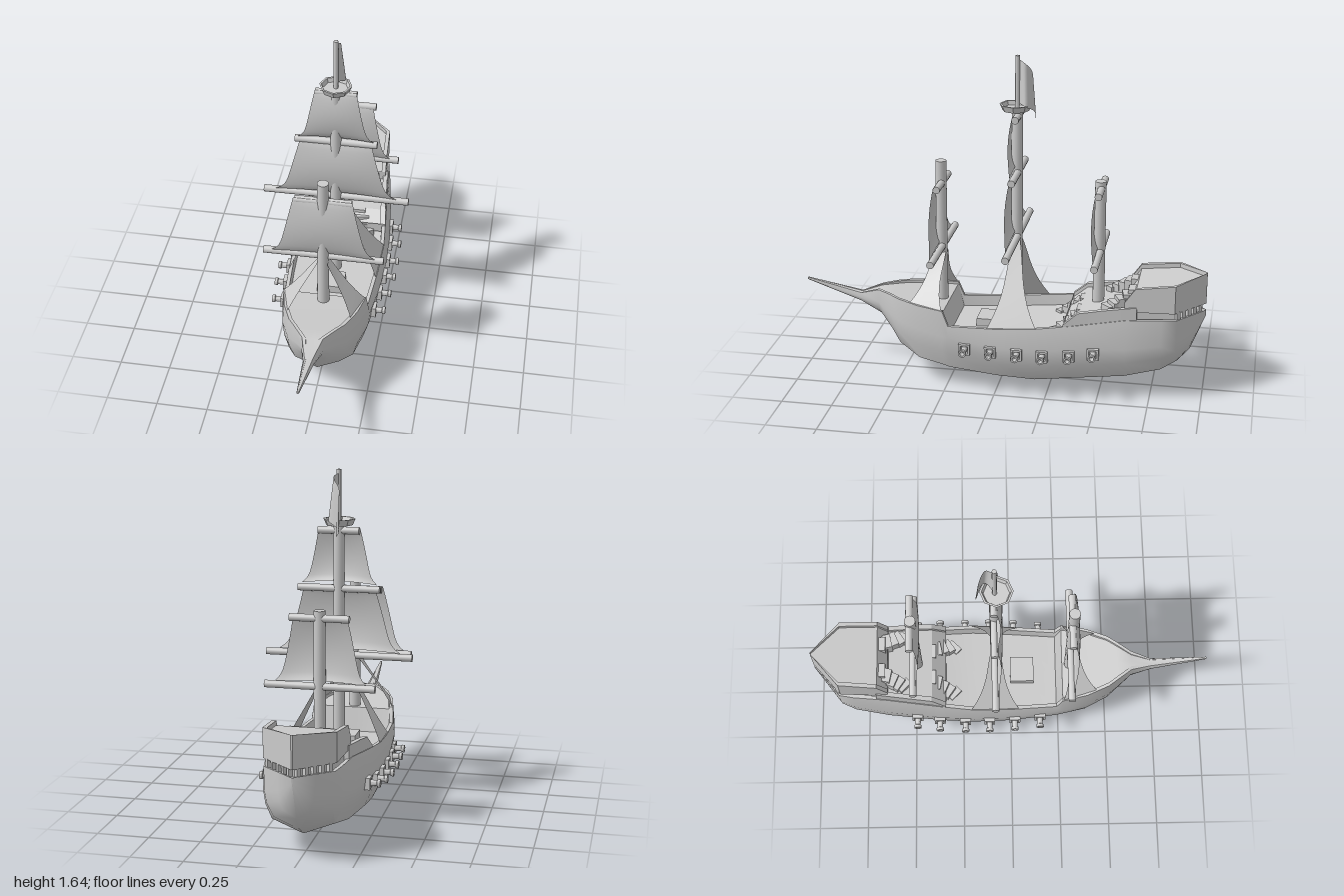
import * as THREE from 'three';
import { toCreasedNormals } from 'three/addons/utils/BufferGeometryUtils.js';

const grey = new THREE.MeshStandardMaterial({ color: 0xcccccc });
const thin = new THREE.MeshStandardMaterial({ color: 0xcccccc, side: THREE.DoubleSide });

function add(parent, name, geometry, x = 0, y = 0, z = 0, material = grey) {
  const mesh = new THREE.Mesh(geometry, material);
  mesh.name = name;
  mesh.position.set(x, y, z);
  parent.add(mesh);
  return mesh;
}

// Skin over mirrored cross-sections, ordered bow to stern. Each: { z, pts } from bottom centre to top centre.
function loft(sections, crease) {
  const pos = [], idx = [];
  const n = (sections[0].pts.length - 1) * 2;
  for (const { z, pts } of sections) {
    const mirrored = pts.slice(1, -1).reverse().map(([x, y]) => [-x, y]);
    for (const [x, y] of [...pts, ...mirrored]) pos.push(x, y, z);
  }
  for (let i = 0; i < sections.length - 1; i++) {
    for (let j = 0; j < n; j++) {
      const a = i * n + j, b = i * n + (j + 1) % n;
      idx.push(a, a + n, b, b, a + n, b + n);
    }
  }
  // End caps, zipped between the mirrored sides
  const last = (sections.length - 1) * n;
  for (let j = 0; j < n / 2; j++) {
    const l0 = (n - j) % n, l1 = n - j - 1;
    idx.push(j, j + 1, l1, j, l1, l0);
    idx.push(last + j, last + l1, last + j + 1, last + j, last + l0, last + l1);
  }
  const g = new THREE.BufferGeometry();
  g.setAttribute('position', new THREE.Float32BufferAttribute(pos, 3));
  g.setIndex(idx);
  return toCreasedNormals(g, crease);
}

// Surface from a rule f(u, v) -> [x, y, z]
function sheet(f, nu, nv) {
  const g = new THREE.PlaneGeometry(1, 1, nu, nv);
  const p = g.attributes.position, uv = g.attributes.uv;
  for (let i = 0; i < p.count; i++) p.setXYZ(i, ...f(uv.getX(i), uv.getY(i)));
  g.computeVertexNormals();
  return g;
}

function createHull(ship) {
  // z, keelY, chineX, bulgeX, bulgeY, railX, railY
  const rows = [
    [1, .445, .004, .006, .452, .004, .458],
    [.72, .35, .02, .028, .378, .02, .4],
    [.62, .29, .03, .055, .37, .05, .435],
    [.55, .2, .07, .11, .34, .1, .435],
    [.5, .13, .11, .145, .32, .135, .43],
    [.39, .065, .16, .19, .3, .18, .42],
    [.265, .045, .18, .215, .28, .205, .41],
    [.235, .035, .185, .22, .28, .21, .335],
    [0, .015, .19, .24, .25, .225, .345],
    [-.19, .005, .19, .245, .25, .23, .362],
    [-.37, .03, .19, .238, .27, .215, .385],
    [-.63, .06, .17, .21, .28, .19, .425],
    [-.8, .105, .145, .185, .3, .175, .43],
    [-.87, .15, .12, .16, .32, .162, .43],
    [-.93, .22, .06, .083, .34, .088, .43],
    [-1, .4, .002, .003, .41, .004, .43],
  ];
  add(ship, 'hull', loft(rows.map(([z, keel, cx, bx, by, rx, ry]) => {
    const cy = keel + (by - keel) * .3;
    const inner = Math.max(rx - .018, rx * .6);
    const waist = z < .25 && z > -.5; // the main deck lies deeper below its rail
    const deck = ry - (waist ? .055 : .012) * Math.min(1, rx / .1);
    return { z, pts: [[0, keel], [cx, cy], [cx + (bx - cx) * .75, (cy + by) / 2], [bx, by],
      [rx, ry], [inner, ry], [inner * .98, deck], [0, deck]] };
  }), .75));
}

function createSternCastle(ship) {
  // Raised decks as blocks with a low rail: rows are z, halfWidth, bottomY, topY
  const block = (rows, rail) => loft(rows.map(([z, x, b, t]) => {
    const inner = x * .88;
    return { z, pts: [[0, b], [x, b], [x, t], [inner, t], [inner, t - rail], [0, t - rail]] };
  }), .5);
  add(ship, 'quarterDeck', block([
    [-.33, .218, .34, .39], [-.4, .208, .34, .45], [-.52, .198, .36, .47], [-.68, .182, .38, .49],
  ], .02));
  add(ship, 'sternBand', block([
    [-.62, .165, .38, .48], [-.86, .14, .4, .48], [-.97, .004, .4, .48],
  ], 0));
  add(ship, 'poopDeck', block([
    [-.62, .178, .46, .51], [-.67, .177, .465, .582], [-.86, .167, .465, .605], [-1, .004, .465, .622],
  ], .022));

  // Small blocks under the overhanging stern
  for (const s of [-1, 1]) {
    for (let i = 0; i < 5; i++) {
      const t = (i + .4) / 5;
      const b = add(ship, 'sternBlock', new THREE.BoxGeometry(.02, .045, .02), s * .15 * (1 - t), .448, -.862 - .12 * t);
      b.rotation.y = s * .7;
    }
  }

  // Curved pairs of stairs between the decks
  const stairs = (z0, y0, y1, base) => {
    for (const s of [-1, 1]) {
      for (let i = 0; i < 5; i++) {
        const t = i / 4, top = y1 + (y0 - y1) * t;
        const step = add(ship, 'stairStep', new THREE.BoxGeometry(.07, top - base, .04),
          s * (.07 + .055 * Math.sin(t * Math.PI / 2)), (top + base) / 2, z0 + .11 * t);
        step.rotation.y = s * .8 * t;
      }
    }
  };
  stairs(-.65, .475, .55, .43);
  stairs(-.4, .33, .43, .28);
}

function createMast(ship, { name, z, top, base, yards, sails }) {
  const mast = new THREE.Group();
  mast.name = name;
  mast.position.z = z;
  ship.add(mast);
  add(mast, 'mastPole', new THREE.CylinderGeometry(.027, .029, top - base, 16), 0, (top + base) / 2, 0);
  for (const [y, half] of yards) {
    add(mast, 'yard', new THREE.CylinderGeometry(.018, .018, half * 2, 12), 0, y, -.005).rotation.z = Math.PI / 2;
  }
  // Sails flare towards the lower corners and belly forward slightly
  for (const [y0, y1, w0, w1] of sails) {
    add(mast, 'sail', sheet((u, v) => {
      const d = 1 - v, s = u * 2 - 1;
      const half = w0 + (w1 - w0) * (.65 * d + .35 * Math.pow(d, 12));
      const y = y0 + (y1 - y0) * d + .012 * (1 - s * s) * d * d;
      const belly = Math.pow(Math.max(0, Math.sin(Math.PI * d)), .7);
      return [s * half, y, .006 + .028 * belly * (1 - .35 * s * s)];
    }, 12, 16), 0, 0, 0, thin);
  }
  return mast;
}

// Web of rigging narrowing from the rail to the mast, on both sides
function createShrouds(ship, low, high) {
  const mix = (p, q, t) => p.map((c, i) => c + (q[i] - c) * t);
  for (const s of [-1, 1]) {
    add(ship, 'shroud', sheet((u, v) => {
      const p = mix(mix(...low, u), mix(...high, u), v);
      const mid = mix(mix(...low, .5), mix(...high, .5), v)[2];
      return [s * p[0], p[1], mid + (p[2] - mid) * (1 - .3 * Math.sin(Math.PI * v))];
    }, 1, 8), 0, 0, 0, thin);
  }
}

function createCannons(ship) {
  const profile = [[0, -.04], [.016, -.04], [.014, .045], [.019, .048], [.019, .062], [.011, .062], [.009, .03], [0, .03]];
  const barrel = toCreasedNormals(new THREE.LatheGeometry(profile.map(p => new THREE.Vector2(...p)), 12), .6);
  const guns = [[.15, .225, .23], [.02, .237, .23], [-.11, .243, .23], [-.235, .243, .23], [-.365, .238, .24], [-.48, .226, .255]];
  for (const s of [-1, 1]) {
    for (const [z, x, y] of guns) {
      const gun = new THREE.Group();
      gun.name = 'cannon';
      gun.position.set(s * x, y, z);
      gun.rotation.z = -s * Math.PI / 2;
      ship.add(gun);
      add(gun, 'barrel', barrel);
      // Square port frame around the barrel
      for (const d of [-1, 1]) {
        add(gun, 'portFrame', new THREE.BoxGeometry(.01, .03, .056), d * .023, .002, 0);
        add(gun, 'portFrame', new THREE.BoxGeometry(.056, .03, .01), 0, .002, d * .023);
      }
    }
  }
}

export function createModel() {
  const ship = new THREE.Group();
  ship.name = 'sailingShip';
  createHull(ship);
  createSternCastle(ship);
  createCannons(ship);
  add(ship, 'hatch', new THREE.BoxGeometry(.13, .04, .12), 0, .305, .06);

  createMast(ship, { name: 'foreMast', z: .305, top: 1.115, base: .36,
    yards: [[.68, .29], [1.005, .135]], sails: [[1.02, .69, .14, .255]] });
  const main = createMast(ship, { name: 'mainMast', z: -.07, top: 1.39, base: .27,
    yards: [[.755, .36], [1.08, .2], [1.36, .1]],
    sails: [[1.08, .77, .175, .3], [1.375, 1.1, .1, .185]] });
  createMast(ship, { name: 'aftMast', z: -.475, top: 1.055, base: .42,
    yards: [[.7, .26], [1.02, .14]], sails: [[1.03, .71, .125, .22]] });

  createShrouds(ship, [[.155, .42, .44], [.2, .41, .27]], [[.025, .65, .335], [.025, .65, .28]]);
  createShrouds(ship, [[.22, .345, .04], [.228, .362, -.2]], [[.025, .74, -.055], [.025, .74, -.09]]);

  // Lookout platform, flagpole and drooping flag
  const nest = new THREE.LatheGeometry([[0, 1.385], [.065, 1.385], [.078, 1.415], [.068, 1.415],
    [.06, 1.395], [0, 1.395]].map(p => new THREE.Vector2(...p)), 8);
  add(main, 'lookout', toCreasedNormals(nest, .3), 0, 0, .008);
  add(main, 'flagpole', new THREE.CylinderGeometry(.011, .011, .28, 10), 0, 1.51, 0);
  add(main, 'flag', sheet((u, v) => [
    .035 * Math.sin(u * 5.5) * (.5 + .5 * (1 - v)) + .02 * u * (1 - v),
    1.42 + .21 * v - u * u * .08 - u * .02 * v,
    -.01 - .078 * Math.sin(u * Math.PI / 2) * (1 - .2 * v),
  ], 12, 8), 0, 0, 0, thin);
  return ship;
}
